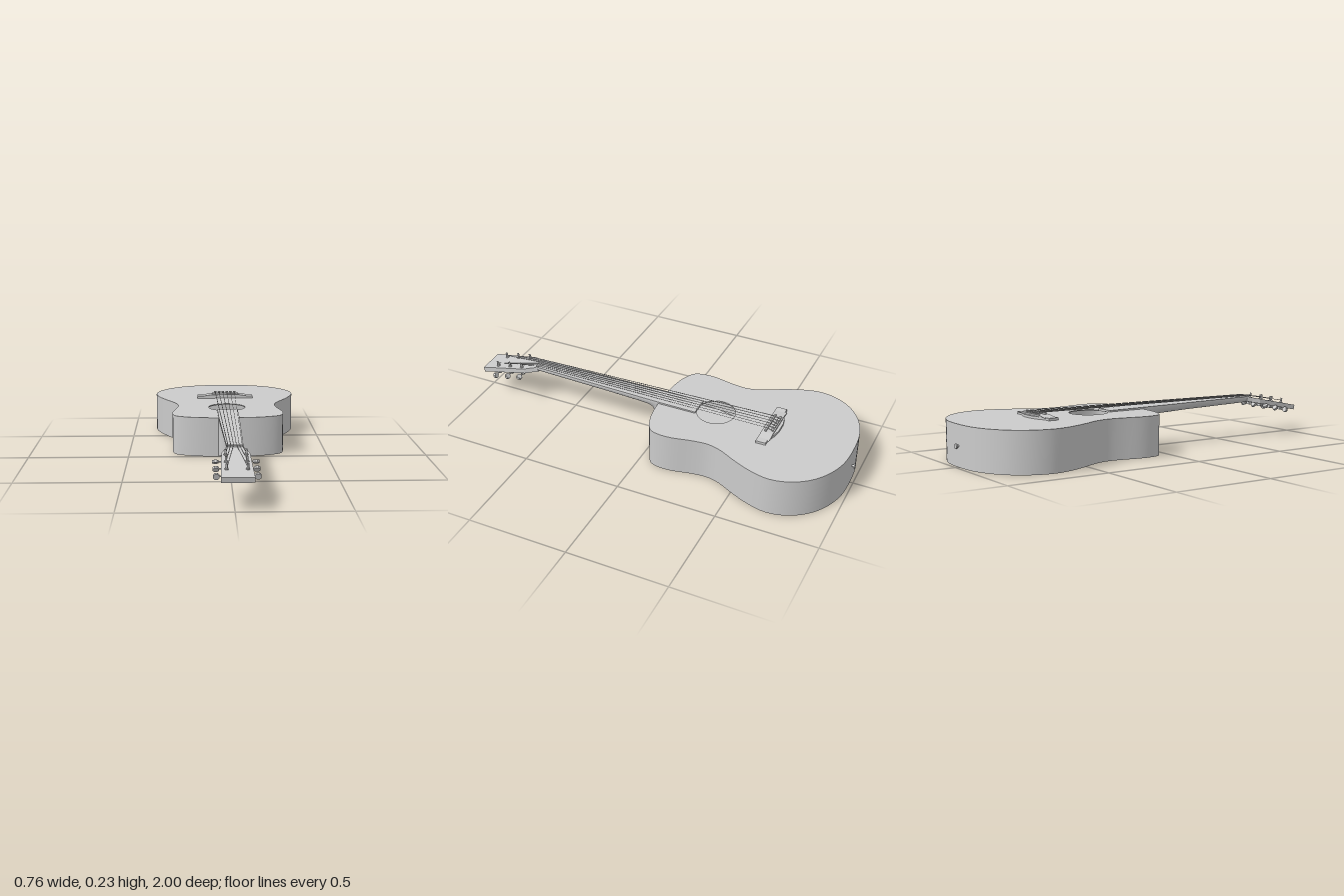
import * as THREE from 'three';
import { toCreasedNormals } from 'three/addons/utils/BufferGeometryUtils.js';

const grey = new THREE.MeshStandardMaterial({ color: 0xcccccc });
const greyThin = new THREE.MeshStandardMaterial({ color: 0xcccccc, side: THREE.DoubleSide });
const V = (x, y, z) => new THREE.Vector3(x, y, z);

function add(parent, name, geometry, x = 0, y = 0, z = 0, material = grey) {
  const mesh = new THREE.Mesh(geometry, material);
  mesh.name = name;
  mesh.position.set(x, y, z);
  parent.add(mesh);
  return mesh;
}

// Plate drawn in plan as (x, z); its top lies at y = 0 and it goes down by depth
function plate(points, depth, hole) {
  const shape = new THREE.Shape(points.map(([x, z]) => new THREE.Vector2(x, z)));
  if (hole) shape.holes.push(hole);
  return new THREE.ExtrudeGeometry(shape, { depth, bevelEnabled: false, curveSegments: 24 }).rotateX(Math.PI / 2);
}

// Half outline (x >= 0) mirrored to a closed one
const mirrored = (half) => [...half, ...half.map(([x, z]) => [-x, z]).reverse()];

// Round bar between two points
function rod(parent, name, a, b, radius, sides = 6) {
  const mesh = add(parent, name, new THREE.CylinderGeometry(radius, radius, a.distanceTo(b), sides));
  mesh.position.copy(a).lerp(b, 0.5);
  mesh.quaternion.setFromUnitVectors(V(0, 1, 0), b.clone().sub(a).normalize());
  return mesh;
}

// Side wall following the body outline
function wall(outline, bottom, top) {
  const n = outline.length, pos = [], index = [];
  outline.forEach(([x, z]) => pos.push(x, bottom, z, x, top, z));
  for (let i = 0; i < n; i++) {
    const a = 2 * i, b = 2 * ((i + 1) % n);
    index.push(a, a + 1, b, b, a + 1, b + 1);
  }
  const g = new THREE.BufferGeometry();
  g.setAttribute('position', new THREE.Float32BufferAttribute(pos, 3));
  g.setIndex(index);
  g.computeVertexNormals();
  return g;
}

// Half-round sections [flat y, flat z, back y, back z, half width] joined into a neck
function neckGeometry(sections, steps = 16) {
  const pos = [], index = [];
  sections.forEach(([ay, az, by, bz, w]) => {
    for (let j = 0; j <= steps; j++) {
      const t = (Math.PI * j) / steps, s = Math.sin(t);
      pos.push(w * Math.cos(t), ay + (by - ay) * s, az + (bz - az) * s);
    }
  });
  for (let i = 0; i < sections.length - 1; i++) {
    for (let j = 0; j < steps; j++) {
      const a = i * (steps + 1) + j, b = a + steps + 1;
      index.push(a, a + 1, b, b, a + 1, b + 1);
    }
  }
  const g = new THREE.BufferGeometry();
  g.setAttribute('position', new THREE.Float32BufferAttribute(pos, 3));
  g.setIndex(index);
  return toCreasedNormals(g, 0.7);
}

export function createModel() {
  const root = new THREE.Group();
  root.name = 'guitar';
  const guitar = new THREE.Group();
  guitar.name = 'instrument';
  guitar.rotation.y = 0.0085;
  guitar.position.x = 0.004;
  root.add(guitar);

  // Hollow body: wall, back and soundboard with the round hole
  const half = [[0.08, -0.982], [0.16, -0.966], [0.24, -0.93], [0.31, -0.872], [0.36, -0.79], [0.378, -0.7],
    [0.36, -0.61], [0.318, -0.51], [0.272, -0.42], [0.255, -0.35], [0.262, -0.27], [0.28, -0.18],
    [0.282, -0.12], [0.268, -0.065], [0.225, -0.035], [0.15, -0.012], [0.06, -0.003]];
  const spline = new THREE.CatmullRomCurve3(mirrored(half).map(([x, z]) => V(x, 0, z)), true);
  const outline = spline.getPoints(102).slice(0, -1).map((p) => [p.x, p.z]);
  const hole = new THREE.Path().absarc(0, -0.29, 0.095, 0, Math.PI * 2, true);
  add(guitar, 'bodySide', wall(outline, 0.002, 0.199), 0, 0, 0, greyThin);
  add(guitar, 'soundboard', plate(outline, 0.005, hole), 0, 0.2, 0);
  add(guitar, 'bodyBack', plate(outline, 0.004), 0, 0.006, 0);

  // Strap pin at the tail
  add(guitar, 'strapPinStem', new THREE.CylinderGeometry(0.006, 0.006, 0.012, 10).rotateX(Math.PI / 2), 0, 0.1, -0.988);
  add(guitar, 'strapPinCap', new THREE.CylinderGeometry(0.012, 0.012, 0.006, 10).rotateX(Math.PI / 2), 0, 0.1, -0.997);

  // Neck curving down into the heel, closed at both ends
  add(guitar, 'neck', neckGeometry([
    [0.206, 0.7, 0.206, 0.7, 0.037], [0.206, 0.7, 0.18, 0.7, 0.037],
    [0.202, 0.3, 0.171, 0.3, 0.046], [0.2, 0.1, 0.164, 0.11, 0.05],
    [0.2, 0.03, 0.159, 0.07, 0.051], [0.198, -0.005, 0.147, 0.046, 0.052],
    [0.16, -0.008, 0.125, 0.035, 0.052], [0.08, -0.008, 0.08, 0.033, 0.052],
    [0.002, -0.008, 0.015, 0.032, 0.052], [0.002, -0.008, 0.002, -0.008, 0.052],
  ]), 0, 0, 0, greyThin);

  // Fingerboard and nut
  const board = add(guitar, 'fingerboard',
    plate(mirrored([[0.052, -0.2], [0.052, 0], [0.0375, 0.69]]), 0.01), 0, 0.2085, 0);
  board.rotation.x = -0.0078;
  add(guitar, 'nut', new THREE.BoxGeometry(0.075, 0.012, 0.01), 0, 0.212, 0.693);

  // Tilted headstock
  const head = new THREE.Group();
  head.name = 'headstock';
  head.position.set(0, 0.212, 0.69);
  head.rotation.x = 0.2;
  guitar.add(head);
  add(head, 'headPlate', plate(mirrored([[0.037, 0], [0.045, 0.03], [0.062, 0.07], [0.071, 0.314]]), 0.025));
  head.updateMatrix();

  // Tuners, three a side
  const tunerZ = [0.09, 0.162, 0.235], turns = [0.9, 0.5, 0.1];
  for (const s of [-1, 1]) {
    tunerZ.forEach((z, i) => {
      const tuner = new THREE.Group();
      tuner.name = 'tuner';
      head.add(tuner);
      rod(tuner, 'post', V(s * 0.045, -0.03, z), V(s * 0.045, 0.026, z), 0.005, 10);
      add(tuner, 'collar', new THREE.CylinderGeometry(0.009, 0.009, 0.005, 10), s * 0.045, 0.002, z);
      add(tuner, 'gearBox', new THREE.BoxGeometry(0.02, 0.014, 0.02), s * 0.045, -0.031, z);
      rod(tuner, 'shaft', V(s * 0.045, -0.033, z), V(s * 0.08, -0.033, z), 0.0035, 8);
      const knob = add(tuner, 'knob', toCreasedNormals(
        new THREE.CylinderGeometry(0.015, 0.015, 0.012, 8).rotateX(Math.PI / 2).rotateZ(Math.PI / 8), 0.5),
      s * 0.088, -0.033, z);
      knob.rotation.x = turns[i];
    });
  }

  // Bridge: flat base with a bowed rear edge, raised middle and saddle
  add(guitar, 'bridgeBase', plate(mirrored([[0.03, -0.624], [0.07, -0.616], [0.11, -0.601], [0.15, -0.6], [0.15, -0.55]]), 0.012),
    0, 0.212, 0);
  const rise = new THREE.Shape([[-0.13, 0.21], [0.13, 0.21], [0.075, 0.219], [-0.075, 0.219]]
    .map(([x, y]) => new THREE.Vector2(x, y)));
  add(guitar, 'bridgeMiddle', new THREE.ExtrudeGeometry(rise, { depth: 0.058, bevelEnabled: false }), 0, 0, -0.61);
  add(guitar, 'saddle', new THREE.BoxGeometry(0.142, 0.01, 0.008), 0, 0.222, -0.57);

  // Strings with their bridge pins; the outer ones take the nearest posts
  for (let i = 0; i < 6; i++) {
    const k = i - 2.5, s = Math.sign(k);
    const x = k * 0.021, radius = 0.0018 - i * 0.00016;
    const post = V(s * 0.042, 0.014, tunerZ[Math.round(2.5 - Math.abs(k))]).applyMatrix4(head.matrix);
    const path = [V(x, 0.219, -0.598), V(x, 0.228, -0.57), V(k * 0.0125, 0.219, 0.693), post];
    for (let j = 0; j < 3; j++) rod(guitar, 'string', path[j], path[j + 1], radius);
    rod(guitar, 'bridgePin', V(x, 0.215, -0.6), V(x, 0.228, -0.6), 0.005, 8);
    add(guitar, 'pinHead', new THREE.SphereGeometry(0.008, 10, 6).scale(1, 0.5, 1), x, 0.228, -0.6);
  }

  return root;
}
